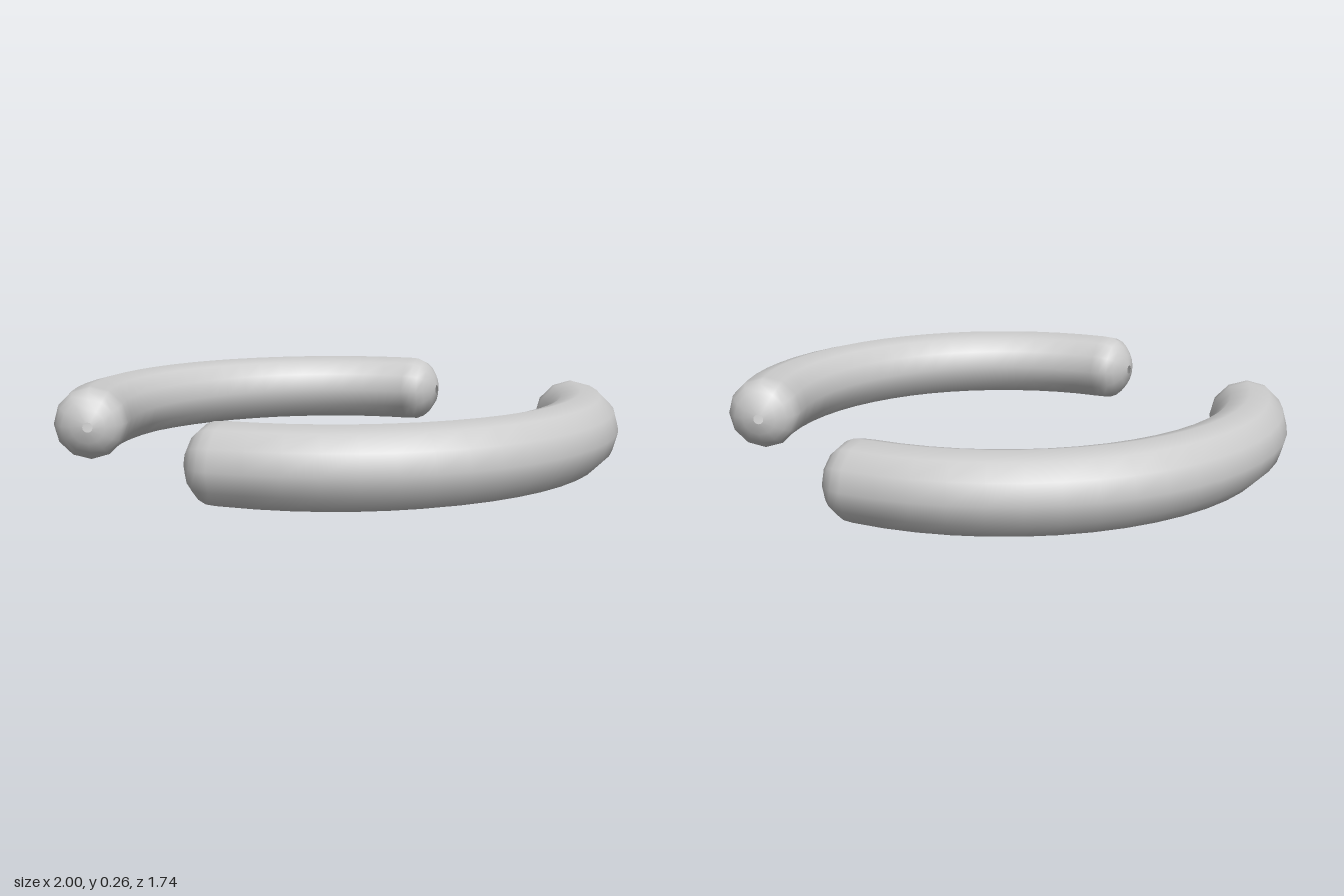
import * as THREE from 'three';

const RING = 0.87;      // radius of the arc's centre line
const TUBE = 0.13;      // radius of the bar
const HALF = THREE.MathUtils.degToRad(58); // half sweep of each arc
const SIDES = 12;
const STEPS = 18;

// Blunt domed end: [distance past the end of the arc, radius]; the last ring leaves a pinhole
const CAP = [[0.034, 0.128], [0.062, 0.116], [0.086, 0.095], [0.108, 0.06], [0.118, 0.018]];

// Cross-sections from one tip to the other: [angle, offset along the tangent, radius]
function sections() {
  const list = CAP.map(([d, r]) => [-HALF, -d, r]).reverse();
  for (let i = 0; i <= STEPS; i++) list.push([-HALF + (2 * HALF * i) / STEPS, 0, TUBE]);
  CAP.forEach(([d, r]) => list.push([HALF, d, r]));
  return list;
}

function curvedBarGeometry() {
  const positions = [];
  const index = [];
  const rings = sections();
  rings.forEach(([a, d, r], i) => {
    const c = Math.cos(a), s = Math.sin(a);
    for (let j = 0; j < SIDES; j++) {
      const b = (j / SIDES) * Math.PI * 2;
      const out = RING + r * Math.cos(b);
      positions.push(out * c - d * s, TUBE + r * Math.sin(b), out * s + d * c);
      if (i < rings.length - 1) {
        const k = (j + 1) % SIDES;
        const p = i * SIDES + j, q = i * SIDES + k;
        index.push(p, q, p + SIDES, q, q + SIDES, p + SIDES);
      }
    }
  });
  const geometry = new THREE.BufferGeometry();
  geometry.setAttribute('position', new THREE.Float32BufferAttribute(positions, 3));
  geometry.setIndex(index);
  geometry.computeVertexNormals();
  return geometry;
}

export function createModel() {
  const group = new THREE.Group();
  const material = new THREE.MeshStandardMaterial({ color: 0xcccccc, side: THREE.DoubleSide });
  const geometry = curvedBarGeometry();

  // Two matching arcs facing each other
  ['leftCurvedBar', 'rightCurvedBar'].forEach((name, i) => {
    const bar = new THREE.Mesh(geometry, material);
    bar.name = name;
    bar.rotation.y = i * Math.PI;
    group.add(bar);
  });
  return group;
}
